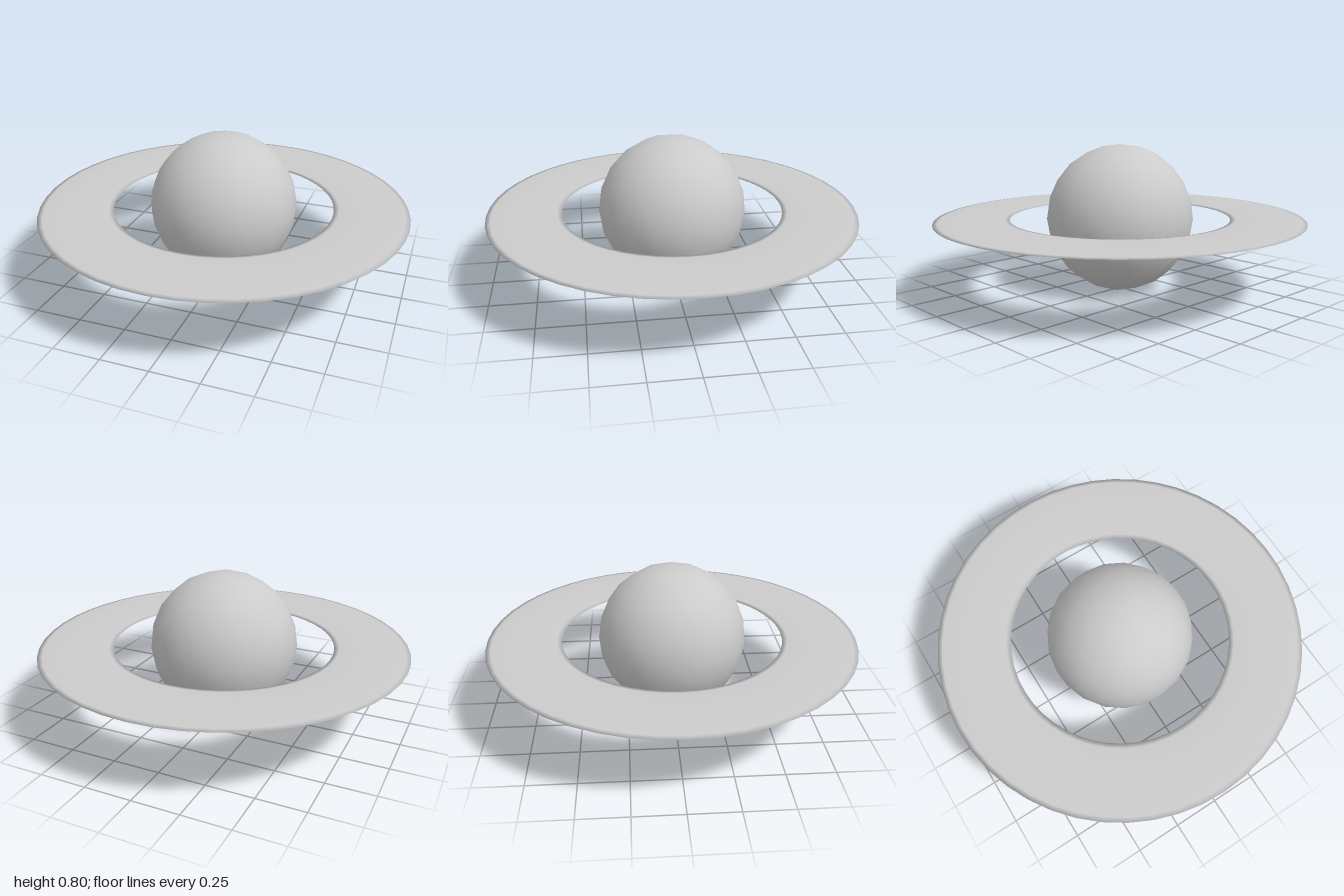
import * as THREE from 'three';

const CENTER_Y = 0.4;

// Icosphere with poles on the y axis; each pass halves the edges and projects to the radius
function icosphere(radius, passes) {
  const v = [0, 1, 0];
  const h = 1 / Math.sqrt(5), r = 2 * h;
  for (let i = 0; i < 10; i++) {
    const a = (i * Math.PI) / 5; // even: upper ring, odd: lower ring
    v.push(r * Math.cos(a), i % 2 ? -h : h, r * Math.sin(a));
  }
  v.push(0, -1, 0);

  const faces = [];
  for (let i = 0; i < 10; i += 2) {
    const u0 = 1 + i, l0 = 2 + i;
    const u1 = 1 + ((i + 2) % 10), l1 = 1 + ((i + 3) % 10);
    faces.push(0, u1, u0, u0, u1, l0, u1, l1, l0, 11, l0, l1);
  }

  let geo = new THREE.PolyhedronGeometry(v, faces, radius, 1);
  for (let p = 1; p < passes; p++) {
    const pos = Array.from(geo.attributes.position.array);
    geo = new THREE.PolyhedronGeometry(pos, pos.slice(0, pos.length / 3).map((_, i) => i), radius, 1);
  }
  return geo;
}

export function createModel() {
  const model = new THREE.Group();
  model.name = 'ringedPlanet';
  const material = new THREE.MeshStandardMaterial({ color: 0xcccccc });

  // Planet body
  const planet = new THREE.Mesh(icosphere(0.4, 2), material);
  planet.name = 'planet';
  planet.position.y = CENTER_Y;
  model.add(planet);

  // Ring: a torus flattened to a thin disc
  const ringGeo = new THREE.TorusGeometry(0.8, 0.2, 12, 48);
  ringGeo.rotateX(Math.PI / 2);
  ringGeo.scale(1, 0.04, 1);
  const ring = new THREE.Mesh(ringGeo, material);
  ring.name = 'ring';
  ring.position.y = CENTER_Y;
  model.add(ring);

  return model;
}
